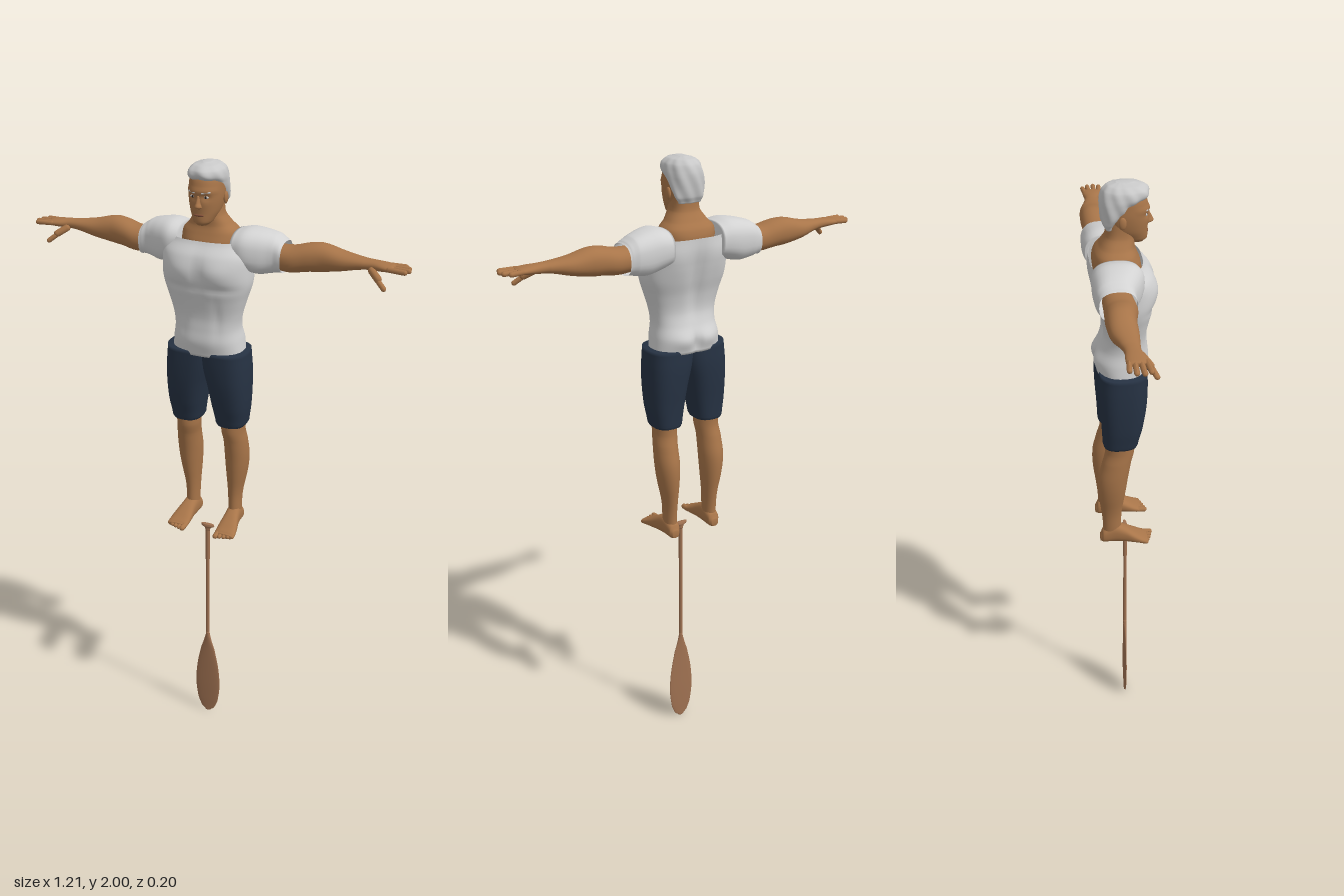
import * as THREE from 'three';

const mat = (name, color, side = THREE.FrontSide) => {
  const m = new THREE.MeshStandardMaterial({ color, side });
  m.name = name;
  return m;
};

// Lofted tube along an axis. Each row is [t, aMin, aMax, bMin, bMax]:
// axis x -> a=y b=z, axis y -> a=z b=x, axis z -> a=x b=y.
function loft(axis, rows, { n = 2, seg = 32, sub = 5, capLow = true, capHigh = true, shape } = {}) {
  const rings = [];
  const cr = (a, b, c, d, t) =>
    0.5 * (2 * b + (c - a) * t + (2 * a - 5 * b + 4 * c - d) * t * t + (3 * b - a - 3 * c + d) * t ** 3);
  const last = rows.length - 1;
  for (let i = 0; i < last; i++) {
    for (let s = 0; s < sub; s++) {
      const [p, q, r, w] = [rows[Math.max(i - 1, 0)], rows[i], rows[i + 1], rows[Math.min(i + 2, last)]];
      rings.push(q.map((_, k) => k ? cr(p[k], q[k], r[k], w[k], s / sub) : q[0] + (r[0] - q[0]) * s / sub));
    }
  }
  rings.push(rows[last]);
  const pos = [], idx = [];
  const put = (t, a, b) => {
    const v = axis === 'x' ? new THREE.Vector3(t, a, b) : axis === 'y' ? new THREE.Vector3(b, t, a) : new THREE.Vector3(a, b, t);
    if (shape) shape(v);
    pos.push(v.x, v.y, v.z);
  };
  const pw = v => Math.sign(v) * Math.abs(v) ** (2 / n);
  rings.forEach(([t, a0, a1, b0, b1], i) => {
    for (let j = 0; j < seg; j++) {
      const u = j / seg * Math.PI * 2;
      put(t, (a0 + a1) / 2 + pw(Math.cos(u)) * (a1 - a0) / 2, (b0 + b1) / 2 + pw(Math.sin(u)) * (b1 - b0) / 2);
      if (i < rings.length - 1) {
        const k = i * seg + j, l = i * seg + (j + 1) % seg;
        idx.push(k, l, k + seg, l, l + seg, k + seg);
      }
    }
  });
  const cap = (i, up) => {
    const [t, a0, a1, b0, b1] = rings[i], c = pos.length / 3;
    put(t, (a0 + a1) / 2, (b0 + b1) / 2);
    for (let j = 0; j < seg; j++) {
      const k = i * seg + j, l = i * seg + (j + 1) % seg;
      up ? idx.push(c, k, l) : idx.push(c, l, k);
    }
  };
  if (capLow) cap(0, false);
  if (capHigh) cap(rings.length - 1, true);
  const g = new THREE.BufferGeometry();
  g.setAttribute('position', new THREE.Float32BufferAttribute(pos, 3));
  g.setIndex(idx);
  g.computeVertexNormals();
  return g;
}

// Mirrored copy across x = 0 with the winding restored
function mirror(geo) {
  const g = geo.clone().scale(-1, 1, 1), a = g.index.array;
  for (let i = 0; i < a.length; i += 3) [a[i + 1], a[i + 2]] = [a[i + 2], a[i + 1]];
  g.computeVertexNormals();
  return g;
}

// Round-ended stick between two points
function stick(from, to, r) {
  const a = new THREE.Vector3(...from), d = new THREE.Vector3(...to).sub(a), len = d.length();
  const g = new THREE.CapsuleGeometry(r, Math.max(len - 2 * r, 0.001), 4, 10);
  g.applyQuaternion(new THREE.Quaternion().setFromUnitVectors(new THREE.Vector3(0, 1, 0), d.clone().normalize()));
  return g.translate(a.x + d.x / 2, a.y + d.y / 2, a.z + d.z / 2);
}

const ball = (x, y, z, sx, sy, sz) => new THREE.SphereGeometry(1, 16, 12).scale(sx, sy, sz).translate(x, y, z);
const bump = (d, w) => Math.exp(-(d * d) / (w * w));

export function createModel() {
  const model = new THREE.Group();
  const skin = mat('skin', 0xa87549), hair = mat('hair', 0xc8c8c8), shirt = mat('shirt', 0xd2d2d2, THREE.DoubleSide);
  const shorts = mat('shorts', 0x263243), wood = mat('wood', 0xa07252);
  const dark = mat('eye dark', 0x2a1d16), lip = mat('lips', 0x85523a);
  const add = (name, geo, m) => {
    const mesh = new THREE.Mesh(geo, m);
    mesh.name = name;
    model.add(mesh);
  };
  const pair = (name, geo, m) => {
    add(name + 'Left', geo, m);
    add(name + 'Right', mirror(geo), m);
  };

  // Shirt body with chest, belly, spine and seat modelling
  add('shirtBody', loft('y', [
    [1.425, -0.08, 0.07, -0.114, 0.114], [1.47, -0.086, 0.078, -0.109, 0.109], [1.51, -0.07, 0.074, -0.103, 0.103],
    [1.55, -0.06, 0.072, -0.108, 0.108], [1.6, -0.066, 0.08, -0.122, 0.122], [1.65, -0.08, 0.092, -0.137, 0.137],
    [1.7, -0.09, 0.096, -0.14, 0.14], [1.74, -0.096, 0.086, -0.14, 0.14], [1.778, -0.096, 0.058, -0.125, 0.125],
  ], {
    n: 2.4, seg: 64, sub: 6, capHigh: false,
    shape: v => {
      const ax = Math.abs(v.x);
      if (v.z > 0.02) {
        v.z += 0.007 * bump(ax - 0.06, 0.045) * bump(v.y - 1.695, 0.035);
        v.z -= 0.006 * bump(v.x, 0.018) * bump(v.y - 1.69, 0.06);
        v.z -= 0.005 * bump(v.y - 1.645, 0.012) * bump(ax - 0.06, 0.06);
        v.z -= 0.003 * bump(ax - 0.055, 0.012) * bump(v.y - 1.55, 0.07);
      } else if (v.z < -0.02) {
        v.z += 0.014 * bump(v.x, 0.02) * bump(v.y - 1.64, 0.1);
        v.z -= 0.005 * bump(ax - 0.07, 0.035) * bump(v.y - 1.71, 0.05);
        v.z += 0.012 * bump(v.x, 0.012) * bump(v.y - 1.455, 0.03);
        v.z -= 0.005 * bump(ax - 0.045, 0.03) * bump(v.y - 1.465, 0.025);
      }
    },
  }), shirt);

  // Shoulders and short sleeves
  pair('sleeve', loft('x', [
    [0.083, 1.7, 1.806, -0.096, 0.046], [0.12, 1.69, 1.814, -0.1, 0.05], [0.16, 1.682, 1.81, -0.1, 0.036],
    [0.2, 1.688, 1.8, -0.098, 0.018], [0.22, 1.692, 1.788, -0.092, 0.016], [0.228, 1.691, 1.782, -0.09, 0.016],
  ], { n: 2.5, capHigh: false }), shirt);

  // Neck and upper chest showing in the square neckline
  add('neck', loft('y', [
    [1.72, -0.08, 0.06, -0.085, 0.085], [1.775, -0.086, 0.052, -0.086, 0.086], [1.8, -0.08, 0.042, -0.083, 0.083],
    [1.82, -0.065, 0.036, -0.064, 0.064], [1.85, -0.048, 0.038, -0.045, 0.045], [1.9, -0.045, 0.035, -0.042, 0.042],
  ], { n: 2.5 }), skin);

  // Head with brow and eye sockets
  add('head', loft('y', [
    [1.826, 0.015, 0.062, -0.016, 0.016], [1.836, -0.005, 0.072, -0.028, 0.028], [1.865, -0.035, 0.073, -0.042, 0.042],
    [1.9, -0.05, 0.076, -0.049, 0.049], [1.93, -0.056, 0.075, -0.05, 0.05], [1.96, -0.054, 0.067, -0.047, 0.047],
    [1.985, -0.035, 0.045, -0.03, 0.03],
  ], {
    n: 2.2, seg: 48,
    shape: v => {
      if (v.z > 0.03) v.z += 0.004 * bump(v.y - 1.926, 0.008) - 0.006 * bump(Math.abs(v.x) - 0.02, 0.012) * bump(v.y - 1.91, 0.009);
    },
  }), skin);
  add('nose', loft('y', [
    [1.877, 0.06, 0.076, -0.008, 0.008], [1.883, 0.06, 0.09, -0.011, 0.011], [1.895, 0.06, 0.086, -0.007, 0.007],
    [1.915, 0.06, 0.077, -0.005, 0.005],
  ], { seg: 14 }), skin);
  pair('ear', ball(0.051, 1.898, -0.003, 0.006, 0.018, 0.011), skin);
  pair('eye', ball(0.02, 1.91, 0.066, 0.009, 0.004, 0.004), hair);
  pair('pupil', ball(0.02, 1.91, 0.0688, 0.0035, 0.0035, 0.002), dark);
  pair('eyebrow', stick([0.009, 1.923, 0.077], [0.034, 1.925, 0.064], 0.003), hair);
  add('mouth', ball(0, 1.858, 0.071, 0.016, 0.004, 0.004), lip);

  // Swept-back wavy hair, lower at the nape than at the forehead
  add('hair', loft('y', [
    [1.872, -0.05, -0.025, -0.036, 0.036], [1.89, -0.058, -0.018, -0.047, 0.047], [1.92, -0.062, 0.015, -0.053, 0.053],
    [1.945, -0.063, 0.045, -0.055, 0.055], [1.962, -0.061, 0.074, -0.055, 0.055], [1.98, -0.054, 0.075, -0.05, 0.05],
    [1.993, -0.04, 0.058, -0.036, 0.036], [2, -0.015, 0.03, -0.012, 0.012],
  ], {
    n: 2.2, seg: 64, sub: 6,
    shape: v => {
      const k = 1 + 0.025 * Math.sin(Math.atan2(v.x, v.z) * 9 + v.y * 70);
      v.x *= k;
      v.z *= k;
    },
  }), hair);

  // Arms running into the palms
  pair('arm', loft('x', [
    [0.19, 1.7, 1.772, -0.078, 0.008], [0.25, 1.696, 1.774, -0.08, 0.013], [0.3, 1.703, 1.786, -0.084, 0.005],
    [0.34, 1.707, 1.788, -0.085, -0.002], [0.4, 1.718, 1.774, -0.08, -0.004], [0.46, 1.732, 1.766, -0.062, -0.01],
    [0.49, 1.735, 1.764, -0.056, -0.011], [0.52, 1.737, 1.762, -0.058, -0.003], [0.547, 1.74, 1.759, -0.058, 0],
    [0.556, 1.745, 1.756, -0.054, -0.004],
  ], { n: 2.2 }), skin);
  [[-0.05, 0.586, -0.055], [-0.036, 0.6, -0.038], [-0.021, 0.604, -0.018], [-0.007, 0.597, 0]].forEach(([z, tip, zt], i) =>
    pair('finger' + (i + 1), stick([0.535, 1.75, z], [tip, 1.749, zt], 0.0075), skin));
  pair('thumbBase', stick([0.485, 1.744, -0.018], [0.525, 1.718, 0.012], 0.011), skin);
  pair('thumbTip', stick([0.51, 1.726, 0.004], [0.545, 1.698, 0.024], 0.0075), skin);

  // Shorts, one lofted half per leg
  pair('shortsLeg', loft('y', [
    [1.183, -0.066, 0.038, 0.03, 0.12], [1.19, -0.068, 0.041, 0.026, 0.124], [1.25, -0.071, 0.055, 0.016, 0.132],
    [1.32, -0.076, 0.066, 0.003, 0.135], [1.38, -0.078, 0.07, -0.012, 0.134], [1.437, -0.075, 0.07, -0.02, 0.13],
  ], { n: 2.6 }), shorts);

  // Bare legs
  pair('leg', loft('y', [
    [0.815, -0.072, -0.01, 0.055, 0.096], [0.86, -0.07, -0.011, 0.055, 0.097], [0.92, -0.075, -0.009, 0.053, 0.1],
    [1, -0.085, 0.002, 0.047, 0.115], [1.06, -0.085, 0.01, 0.044, 0.121], [1.12, -0.071, 0.02, 0.044, 0.119],
    [1.16, -0.061, 0.03, 0.04, 0.115], [1.22, -0.062, 0.03, 0.04, 0.118],
  ]), skin);

  // Feet with toes
  pair('foot', loft('z', [
    [-0.08, 0.064, 0.088, 0.804, 0.828], [-0.07, 0.056, 0.096, 0.8, 0.848], [-0.035, 0.053, 0.1, 0.8, 0.868],
    [0, 0.053, 0.106, 0.8, 0.857], [0.035, 0.05, 0.115, 0.8, 0.837], [0.065, 0.05, 0.119, 0.8, 0.821],
    [0.075, 0.053, 0.115, 0.801, 0.816],
  ], { n: 2.5 }), skin);
  [0.094, 0.09, 0.086, 0.081, 0.075].forEach((z, i) =>
    pair('toe' + (i + 1), stick([0.06 + i * 0.0125, 0.81, 0.05], [0.06 + i * 0.0135, 0.808, z], i ? 0.0065 : 0.009), skin));

  // Paddle: blade, spine, shaft, grip and flared handle
  add('paddleBlade', loft('y', [
    [0, 0.009, 0.015, -0.008, 0.008], [0.015, 0.009, 0.015, -0.024, 0.024], [0.05, 0.008, 0.016, -0.038, 0.038],
    [0.12, 0.007, 0.017, -0.046, 0.046], [0.2, 0.007, 0.017, -0.041, 0.041], [0.28, 0.007, 0.017, -0.026, 0.026],
    [0.33, 0.006, 0.018, -0.011, 0.011], [0.355, 0.006, 0.018, -0.006, 0.006],
  ]), wood);
  const rod = (y0, y1, r0, r1) => new THREE.CylinderGeometry(r1, r0, y1 - y0, 16).translate(0, (y0 + y1) / 2, 0.012);
  add('paddleSpine', rod(0.2, 0.34, 0.002, 0.0065), wood);
  add('paddleShaft', rod(0.33, 0.68, 0.006, 0.0055), wood);
  add('paddleGrip', rod(0.66, 0.79, 0.007, 0.007), wood);
  add('paddleHandle', loft('y', [
    [0.775, 0.005, 0.019, -0.007, 0.007], [0.787, 0.005, 0.019, -0.012, 0.012], [0.793, 0.004, 0.02, -0.023, 0.023],
    [0.8, 0.006, 0.018, -0.023, 0.023],
  ]), wood);
  return model;
}
